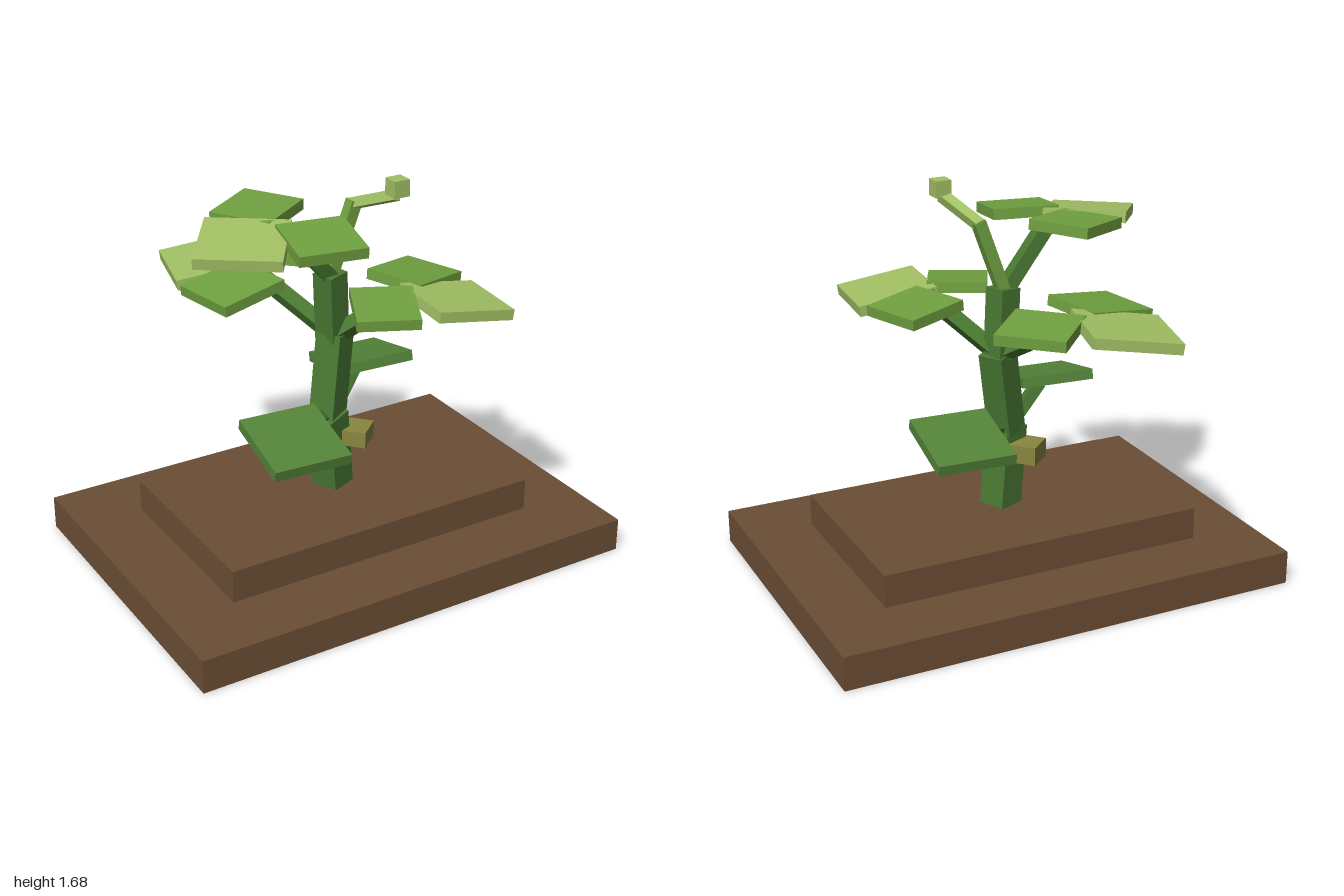
import * as THREE from 'three';

export function createModel() {
  const model = new THREE.Group();
  model.name = 'pottedSprout';

  const paint = (name, color) => {
    const m = new THREE.MeshStandardMaterial({ color });
    m.name = name;
    return m;
  };
  const soil = paint('soilBrown', 0x6b4e35);
  const stemGreen = paint('stemGreen', 0x497832);
  const darkLeaf = paint('darkLeafGreen', 0x55853a);
  const midLeaf = paint('midLeafGreen', 0x70a040);
  const lightLeaf = paint('lightLeafGreen', 0xa1c064);
  const olive = paint('seedOlive', 0x8a8540);

  const vec = (p) => new THREE.Vector3(...p);

  const block = (name, mat, size, pos, yaw = 0) => {
    const mesh = new THREE.Mesh(new THREE.BoxGeometry(...size), mat);
    mesh.name = name;
    mesh.position.set(...pos);
    mesh.rotation.y = yaw;
    model.add(mesh);
    return mesh;
  };

  // square bar running from a to b, twisted around its own length
  const bar = (name, mat, a, b, width, twist = 0) => {
    const from = vec(a), to = vec(b);
    const dir = to.clone().sub(from);
    const geo = new THREE.BoxGeometry(width, dir.length(), width).rotateY(twist);
    const mesh = new THREE.Mesh(geo, mat);
    mesh.name = name;
    mesh.position.copy(from).add(to).multiplyScalar(0.5);
    mesh.quaternion.setFromUnitVectors(new THREE.Vector3(0, 1, 0), dir.normalize());
    model.add(mesh);
  };

  // flat slab spanned by two edge vectors u and v
  const leaf = (name, mat, centre, u, v, thick = 0.045) => {
    const U = vec(u), V = vec(v);
    const mesh = new THREE.Mesh(new THREE.BoxGeometry(U.length(), thick, V.length()), mat);
    const x = U.clone().normalize();
    const y = V.clone().cross(U).normalize();
    const z = x.clone().cross(y);
    mesh.name = name;
    mesh.quaternion.setFromRotationMatrix(new THREE.Matrix4().makeBasis(x, y, z));
    mesh.position.set(...centre);
    model.add(mesh);
  };

  // stepped soil bed
  block('lowerSoil', soil, [2, 0.145, 1.43], [0, 0.0725, 0.02]);
  block('upperSoil', soil, [1.426, 0.145, 0.85], [0, 0.2125, 0.02]);

  // zigzag trunk
  bar('trunkLower', stemGreen, [0, 0.28, 0.02], [-0.04, 0.63, 0.045], 0.125, 0.4);
  bar('trunkMiddle', stemGreen, [-0.035, 0.61, 0.035], [0.02, 0.975, 0.005], 0.115, 0.5);
  bar('trunkUpper', stemGreen, [0.01, 0.95, 0], [-0.01, 1.25, 0.015], 0.1, 0.3);

  // split seed halves on the trunk
  block('seedHalfFront', olive, [0.127, 0.07, 0.167], [0.062, 0.524, 0.065], 0.72);
  block('seedHalfBack', olive, [0.127, 0.08, 0.167], [-0.08, 0.532, -0.025], 0.72);

  // lower pair of single leaves
  bar('lowerStemBack', stemGreen, [-0.02, 0.61, 0.03], [0.19, 0.72, -0.12], 0.05);
  bar('lowerStemFront', stemGreen, [-0.04, 0.61, 0.04], [-0.27, 0.72, 0.2], 0.05);
  leaf('lowerLeafBack', darkLeaf, [0.29, 0.71, -0.225], [0.33, 0, 0.02], [-0.05, 0.075, 0.335]);
  leaf('lowerLeafFront', darkLeaf, [-0.36, 0.71, 0.325], [0.33, 0, 0.025], [-0.04, -0.075, 0.335]);

  // back triple leaf
  bar('backBranch', stemGreen, [0.01, 0.97, 0], [-0.19, 1.19, -0.33], 0.06);
  leaf('backLeafCentre', lightLeaf, [-0.285, 1.18, -0.518], [0.35, 0.05, 0.09], [-0.1, 0, 0.355]);
  leaf('backLeafLeft', midLeaf, [0.037, 1.2, -0.41], [0.21, 0, 0.2], [-0.2, 0.015, 0.215]);
  leaf('backLeafRight', midLeaf, [-0.345, 1.18, -0.2], [0.3, 0.04, -0.05], [0.05, 0, 0.3]);

  // front triple leaf
  bar('frontBranch', stemGreen, [0.02, 0.97, 0.02], [0.24, 1.19, 0.22], 0.06);
  leaf('frontLeafCentre', lightLeaf, [0.352, 1.18, 0.39], [0.335, -0.05, 0.03], [-0.04, 0, 0.335]);
  leaf('frontLeafLeft', midLeaf, [0.35, 1.19, 0.092], [0.26, -0.025, -0.09], [0.09, 0, 0.265]);
  leaf('frontLeafRight', midLeaf, [0.05, 1.195, 0.335], [0.23, 0, 0.11], [-0.12, -0.03, 0.25]);

  // top triple leaf
  bar('topBranch', stemGreen, [-0.01, 1.23, 0.015], [-0.25, 1.5, 0.065], 0.06);
  leaf('topLeafCentre', lightLeaf, [-0.46, 1.495, 0.116], [0.28, 0, 0.2], [-0.2, -0.045, 0.27]);
  leaf('topLeafFront', midLeaf, [-0.197, 1.503, 0.262], [0.277, 0, 0.05], [-0.058, -0.035, 0.272]);
  leaf('topLeafBack', midLeaf, [-0.268, 1.522, -0.122], [0.235, 0.015, -0.14], [0.14, 0, 0.235]);

  // curling shoot with a bud
  bar('shootLower', midLeaf, [-0.01, 1.23, 0.01], [0.1, 1.54, 0.02], 0.05);
  bar('shootTip', lightLeaf, [0.095, 1.525, 0.01], [0.17, 1.61, 0.22], 0.042);
  block('bud', lightLeaf, [0.07, 0.07, 0.07], [0.175, 1.643, 0.22]);

  return model;
}
